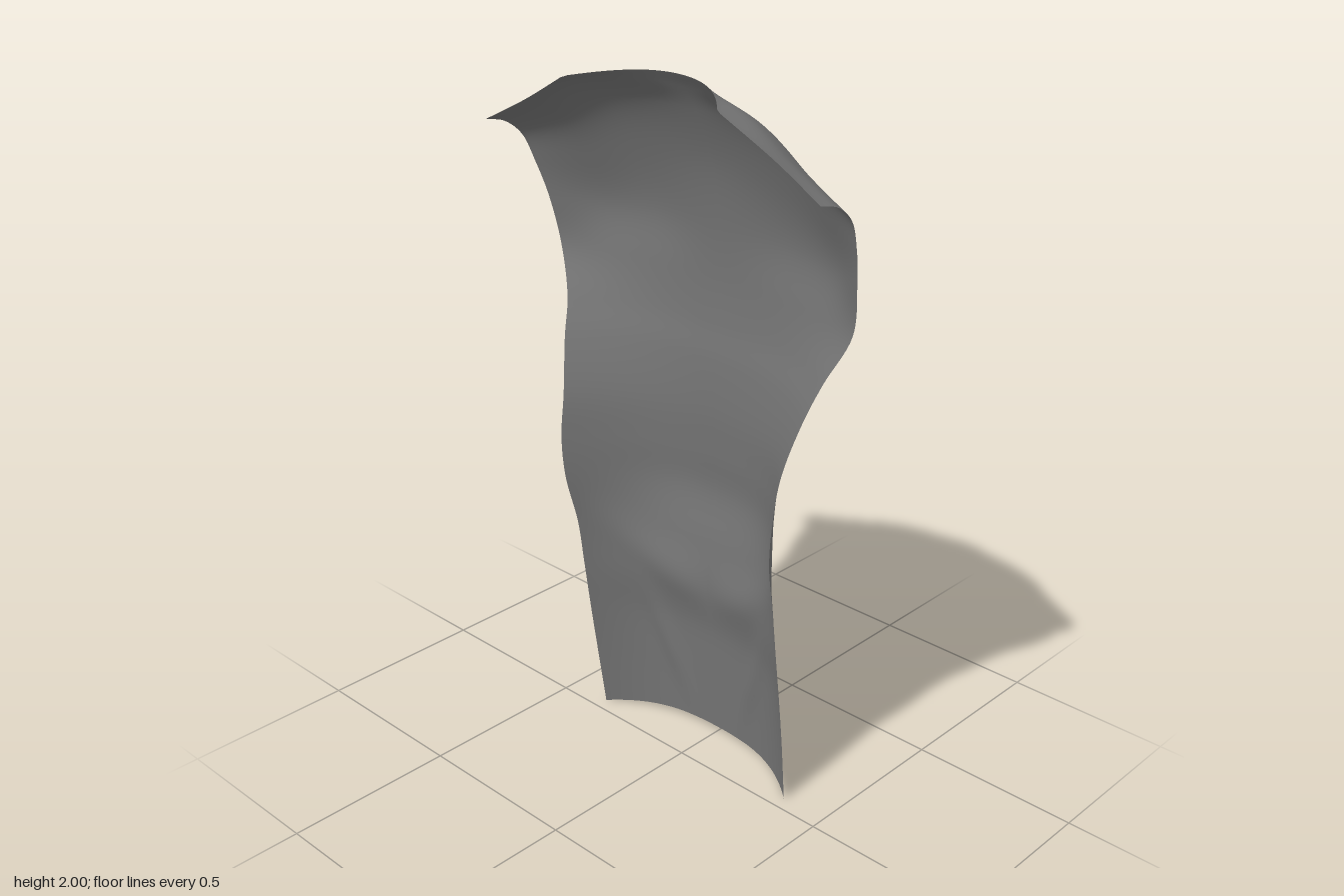
import * as THREE from 'three';

// Column positions across one half (0 = centre seam, 1 = side edge)
const COLS = [0, 0.456, 0.75, 1];

// Torso rows: [y, centre z, edge x, edge z]
const TORSO = [
  [0, -0.15, 0.36, -0.04], [0.2, -0.14, 0.367, -0.015], [0.35, -0.13, 0.37, 0.005],
  [0.5, -0.107, 0.371, 0.025], [0.65, -0.118, 0.373, 0.045], [0.8, -0.139, 0.384, 0.077],
  [0.92, -0.131, 0.393, 0.08], [1.05, -0.125, 0.4, 0.06], [1.2, -0.133, 0.432, 0.02],
  [1.3, -0.147, 0.46, -0.02], [1.43, -0.154, 0.517, -0.055],
];

// Shoulder rows: edge x, then [y, z] at each column
const SHOULDER = [
  [0.54, [1.58, -0.145], [1.57, -0.15], [1.56, -0.115], [1.57, -0.035]],
  [0.557, [1.75, -0.112], [1.73, -0.108], [1.69, -0.07], [1.67, -0.005]],
  [0.567, [1.9, -0.05], [1.88, -0.035], [1.8, -0.01], [1.75, 0.03]],
  [0.57, [1.96, -0.012], [1.955, 0.06], [1.86, 0.07], [1.795, 0.085]],
  [0.57, [2.0, 0.02], [1.975, 0.155], [1.885, 0.14], [1.813, 0.15]],
];

const bump = (d, width) => Math.exp(-((d / width) ** 2));

// Smooth curve across a shoulder row, mirrored so it stays level at the centre
function rowCurve([edgeX, ...p]) {
  const half = p.map(([y, z], i) => new THREE.Vector3(COLS[i] * edgeX, y, z));
  const mirrored = half.slice(1).reverse().map(v => new THREE.Vector3(-v.x, v.y, v.z));
  return new THREE.CatmullRomCurve3([...mirrored, ...half], false, 'centripetal');
}

function shoulderPoint(row, index, s) {
  const last = index === SHOULDER.length - 1;
  // Neckline scoop with a sharp corner where it meets the shoulder seam
  if (last && s <= COLS[1]) {
    const t = s / COLS[1];
    const [a, b] = [row[1], row[2]];
    return new THREE.Vector3(s * row[0], a[0] + (b[0] - a[0]) * t ** 2, a[1] + (b[1] - a[1]) * t ** 2.2);
  }
  if (last) {
    const seam = new THREE.CatmullRomCurve3(
      [2, 3, 4].map(i => new THREE.Vector3(COLS[i - 1] * row[0], ...row[i])));
    return seam.getPoint((s - COLS[1]) / (1 - COLS[1]));
  }
  // Three spans per half: find the span holding s
  const span = s <= COLS[1] ? 0 : s <= COLS[2] ? 1 : 2;
  const t = (s - COLS[span]) / (COLS[span + 1] - COLS[span]);
  return rowCurve(row).getPoint((3 + span + t) / 6);
}

// Lengthwise curve from hem to shoulder at position s
function columnCurve(s) {
  const torso = TORSO.map(([y, zc, ex, ze], i) =>
    new THREE.Vector3(s * ex, i ? y : 0.02 * (1 - s * s), zc + (ze - zc) * s ** 2.8));
  const shoulder = SHOULDER.map((row, i) => shoulderPoint(row, i, s));
  return new THREE.CatmullRomCurve3([...torso, ...shoulder], false, 'centripetal');
}

// Soft cloth folds around the waist and lower back
function foldDepth(s, y) {
  const fade = Math.sin(Math.PI * Math.min(1, s)) ;
  const waist = 0.012 * fade * bump(y - 0.5 - 0.2 * s * s, 0.07);
  const diagonal = 0.01 * fade * bump(s - 0.3 - 0.9 * (y - 0.1), 0.09) * bump(y - 0.28, 0.17);
  const spine = 0.004 * bump(s, 0.2) * bump(y - 1.4, 0.35);
  return waist + diagonal + spine;
}

function halfPanel(side) {
  const nu = 36, nv = 120;
  const positions = [], indices = [];
  for (let i = 0; i <= nu; i++) {
    const s = i / nu;
    const curve = columnCurve(s);
    for (let j = 0; j <= nv; j++) {
      const p = curve.getPoint(j / nv);
      positions.push(side * p.x, p.y, p.z + foldDepth(s, p.y));
      if (i < nu && j < nv) {
        const a = i * (nv + 1) + j, b = a + nv + 1;
        // Outside of the cloth faces the back
        if (side > 0) indices.push(a, a + 1, b, b, a + 1, b + 1);
        else indices.push(a, b, a + 1, b, b + 1, a + 1);
      }
    }
  }
  const geometry = new THREE.BufferGeometry();
  geometry.setAttribute('position', new THREE.Float32BufferAttribute(positions, 3));
  geometry.setIndex(indices);
  geometry.computeVertexNormals();
  return geometry;
}

export function createModel() {
  const group = new THREE.Group();
  group.name = 'garmentBack';
  const cloth = new THREE.MeshStandardMaterial({ color: 0x747474, side: THREE.DoubleSide });
  cloth.name = 'grey cloth';
  // Two halves meeting at the centre back seam
  for (const [side, name] of [[1, 'leftBackPanel'], [-1, 'rightBackPanel']]) {
    const mesh = new THREE.Mesh(halfPanel(side), cloth);
    mesh.name = name;
    group.add(mesh);
  }
  return group;
}
